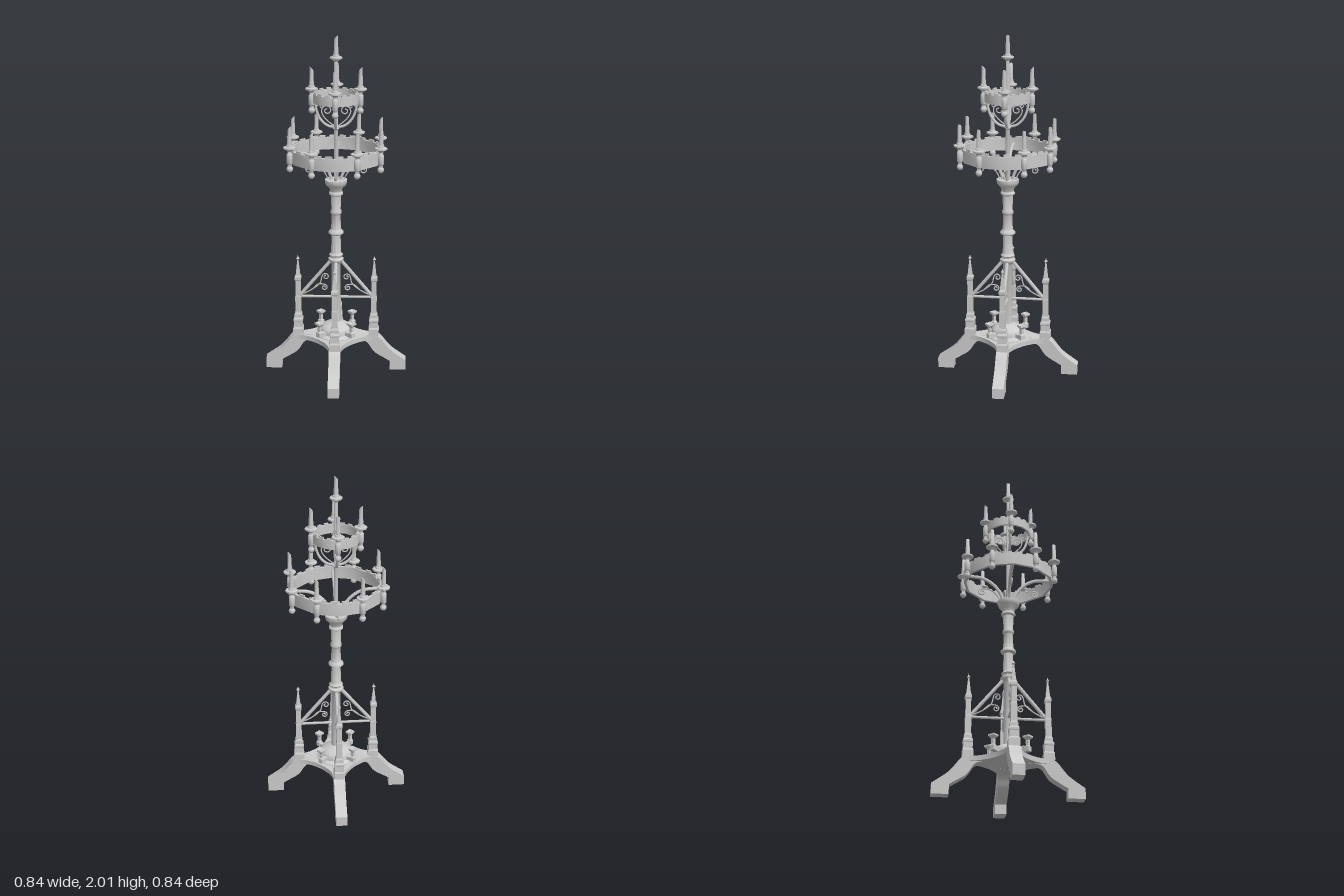
import * as THREE from 'three';
import { toCreasedNormals } from 'three/addons/utils/BufferGeometryUtils.js';

const smooth = new THREE.MeshStandardMaterial({ color: 0xcccccc, side: THREE.DoubleSide });
const flat = new THREE.MeshStandardMaterial({ color: 0xcccccc, flatShading: true, side: THREE.DoubleSide });
const v2 = (p) => new THREE.Vector2(p[0], p[1]);

function add(parent, name, geometry, material = smooth) {
  const mesh = new THREE.Mesh(geometry, material);
  mesh.name = name;
  parent.add(mesh);
  return mesh;
}

// Turned part from [radius, y] pairs, bottom to top
function turned(parent, name, profile, sides = 8) {
  const g = new THREE.LatheGeometry(profile.map(v2), sides);
  return add(parent, name, toCreasedNormals(g, 0.85));
}

// Square part from [half width, y] pairs
function squareTurned(parent, name, profile) {
  const pts = profile.map(([w, y]) => new THREE.Vector2(w * Math.SQRT2, y));
  return add(parent, name, new THREE.LatheGeometry(pts, 4, Math.PI / 4), flat);
}

// Bar swept along [x, y] points in the radial plane
function bar(parent, name, points, r, steps = 16, sides = 6) {
  const curve = new THREE.CatmullRomCurve3(points.map(([x, y]) => new THREE.Vector3(x, y, 0)));
  return add(parent, name, new THREE.TubeGeometry(curve, steps, r, sides));
}

// Wire that ends in an inward spiral
function scroll(parent, name, lead, [cx, cy], r, a0, dir, wire = 0.004) {
  const pts = [...lead];
  for (let i = 0; i <= 14; i++) {
    const t = i / 14, a = a0 + dir * t * Math.PI * 2.6, k = r * (1 - 0.75 * t);
    pts.push([cx + k * Math.cos(a), cy + k * Math.sin(a)]);
  }
  return bar(parent, name, pts, wire, 44, 5);
}

// Four copies of a part around the vertical axis
function fourTimes(parent, name, build, offset = 0) {
  for (let i = 0; i < 4; i++) {
    const g = new THREE.Group();
    g.name = name;
    g.rotation.y = offset + i * Math.PI / 2;
    build(g);
    parent.add(g);
  }
}

// Candle with its slanted tip; y is the height of the drip pan
function candle(parent, x, y, z, withDrop = true) {
  const g = new THREE.Group();
  g.name = 'candle';
  g.position.set(x, y, z);
  turned(g, 'dripPan', [[0, -0.022], [0.014, -0.02], [0.018, -0.012], [0.036, -0.004], [0.036, 0.005],
    [0.02, 0.008], [0.018, 0.018], [0, 0.02]]);
  const wax = new THREE.CylinderGeometry(0.01, 0.014, 0.11, 8);
  const p = wax.attributes.position;
  for (let i = 0; i < p.count; i++) if (p.getY(i) > 0) p.setY(i, p.getY(i) + p.getX(i));
  add(g, 'wax', toCreasedNormals(wax, 0.85)).position.y = 0.06;
  if (withDrop) {
    turned(g, 'holderStem', [[0, -0.108], [0.012, -0.106], [0.012, -0.095], [0.017, -0.09], [0.017, -0.035],
      [0.012, -0.03], [0.012, -0.018]]);
    const ball = add(g, 'drop', new THREE.SphereGeometry(0.019, 8, 6));
    ball.position.y = -0.122;
  }
  parent.add(g);
}

// Upright polygonal band
function band(parent, name, angles, r, thick, y0, y1) {
  const outline = (k) => angles.map((a) => new THREE.Vector2(k * Math.cos(a), k * Math.sin(a)));
  const shape = new THREE.Shape(outline(r));
  shape.holes.push(new THREE.Path(outline(r - thick)));
  const g = new THREE.ExtrudeGeometry(shape, { depth: y1 - y0, bevelEnabled: false });
  g.rotateX(-Math.PI / 2);
  add(parent, name, toCreasedNormals(g, 0.7)).position.y = y0;
}

// Small raised blocks along the top of a band
function crenels(parent, angles, r, y, perSide, length) {
  angles.forEach((a, i) => {
    const b = angles[(i + 1) % angles.length];
    const p = [r * Math.cos(a), -r * Math.sin(a)], q = [r * Math.cos(b), -r * Math.sin(b)];
    for (let k = 0; k < perSide; k++) {
      const t = (k + 0.5) / perSide;
      const m = add(parent, 'crenel', new THREE.BoxGeometry(length, 0.014, 0.009));
      m.position.set(p[0] + (q[0] - p[0]) * t, y, p[1] + (q[1] - p[1]) * t);
      m.rotation.y = Math.atan2(-(q[1] - p[1]), q[0] - p[0]);
    }
  });
}

function buildBase(root) {
  // Cross-shaped deck with concave sides
  const deck = new THREE.Shape();
  deck.moveTo(0.22, -0.033);
  for (let i = 0; i < 4; i++) {
    const c = Math.round(Math.cos(i * Math.PI / 2)), s = Math.round(Math.sin(i * Math.PI / 2));
    const at = (x, y) => [x * c - y * s, x * s + y * c];
    deck.lineTo(...at(0.22, 0.033));
    deck.bezierCurveTo(...at(0.14, 0.04), ...at(0.04, 0.14), ...at(0.033, 0.22));
    deck.lineTo(...at(-0.033, 0.22));
  }
  const dg = new THREE.ExtrudeGeometry(deck, { depth: 0.028, bevelEnabled: false, curveSegments: 8 });
  dg.rotateX(-Math.PI / 2);
  add(root, 'deck', toCreasedNormals(dg, 0.6)).position.y = 0.19;
  turned(root, 'baseDome', [[0.08, 0.185], [0.12, 0.2], [0.12, 0.222], [0.098, 0.235], [0.095, 0.265],
    [0.075, 0.28], [0.045, 0.292], [0.028, 0.3]], 12);

  fourTimes(root, 'leg', (g) => {
    const s = new THREE.Shape();
    s.moveTo(0.325, 0);
    s.lineTo(0.42, 0);
    s.lineTo(0.42, 0.06);
    s.lineTo(0.355, 0.105);
    s.bezierCurveTo(0.29, 0.15, 0.28, 0.21, 0.235, 0.219);
    s.lineTo(0.1, 0.219);
    s.lineTo(0.1, 0.19);
    s.lineTo(0.16, 0.187);
    s.bezierCurveTo(0.21, 0.18, 0.2, 0.13, 0.25, 0.1);
    s.lineTo(0.325, 0.055);
    const lg = new THREE.ExtrudeGeometry(s, { depth: 0.066, bevelEnabled: false, curveSegments: 8 });
    lg.translate(0, 0, -0.033);
    add(g, 'legBody', toCreasedNormals(lg, 0.6));
  });

  // Small holders on the diagonals
  fourTimes(root, 'smallHolder', (g) => {
    add(g, 'holderArm', new THREE.BoxGeometry(0.07, 0.022, 0.026)).position.set(0.105, 0.245, 0);
    squareTurned(g, 'holderCup', [[0, 0.23], [0.014, 0.235], [0.014, 0.262], [0.008, 0.27], [0.008, 0.3],
      [0.02, 0.315], [0.02, 0.325], [0.012, 0.325], [0, 0.315]]).position.x = 0.134;
  }, Math.PI / 4);
}

function buildButtresses(root) {
  fourTimes(root, 'buttress', (g) => {
    squareTurned(g, 'pinnacle', [[0.031, 0.215], [0.031, 0.255], [0.026, 0.265], [0.026, 0.3], [0.028, 0.305],
      [0.028, 0.315], [0.022, 0.325], [0.022, 0.345], [0.017, 0.355], [0.017, 0.455], [0.015, 0.465],
      [0.015, 0.555], [0.019, 0.565], [0.019, 0.58], [0.013, 0.59], [0.004, 0.68], [0.004, 0.685],
      [0.009, 0.692], [0.004, 0.7], [0, 0.715]]).position.x = 0.225;
    bar(g, 'tieBar', [[0.02, 0.455], [0.225, 0.455]], 0.008, 1);
    bar(g, 'strut', [[0.215, 0.46], [0.025, 0.69]], 0.011, 1);
    scroll(g, 'strutScroll', [[0.205, 0.465], [0.14, 0.5], [0.095, 0.54]], [0.062, 0.58], 0.022, 0, 1);
    scroll(g, 'strutScroll', [[0.14, 0.5], [0.105, 0.532]], [0.07, 0.512], 0.019, Math.PI / 2, 1);
  });
}

function buildColumn(root) {
  turned(root, 'column', [[0.03, 0.28], [0.027, 0.31], [0.027, 0.665], [0.034, 0.675], [0.046, 0.69],
    [0.046, 0.698], [0.034, 0.706], [0.034, 0.715], [0.042, 0.722], [0.03, 0.735], [0.028, 0.845],
    [0.045, 0.855], [0.045, 0.865], [0.03, 0.88], [0.027, 0.97], [0.034, 0.978], [0.034, 0.99],
    [0.028, 1.0], [0.031, 1.085], [0.042, 1.092], [0.042, 1.102], [0.035, 1.11], [0.04, 1.13],
    [0.06, 1.15], [0.066, 1.165], [0.066, 1.18], [0, 1.182]], 10);
  turned(root, 'upperRod', [[0.013, 1.18], [0.012, 1.47], [0.02, 1.48], [0.012, 1.495], [0.011, 1.87]]);
  candle(root, 0, 1.88, 0, false);
}

function buildCrowns(root) {
  // Lower crown
  const lower = [];
  for (let i = 0; i < 4; i++) for (const d of [0, 28, 62]) lower.push((i * 90 + d) * Math.PI / 180);
  band(root, 'lowerCrown', lower, 0.265, 0.016, 1.295, 1.368);
  crenels(root, lower, 0.257, 1.373, 2, 0.038);
  for (let i = 0; i < 4; i++) for (const d of [26.2, 63.8]) {
    const a = (i * 90 + d) * Math.PI / 180;
    candle(root, 0.284 * Math.cos(a), 1.395, 0.284 * Math.sin(a));
  }
  fourTimes(root, 'lowerCrownArm', (g) => {
    bar(g, 'arm', [[0.025, 1.175], [0.045, 1.23], [0.085, 1.285], [0.15, 1.325], [0.255, 1.335]], 0.01);
    scroll(g, 'armScroll', [[0.045, 1.18], [0.07, 1.225], [0.11, 1.255]], [0.155, 1.236], 0.022, Math.PI / 2, -1);
  });

  // Upper crown
  const upper = Array.from({ length: 16 }, (_, i) => (i + 0.5) * Math.PI / 8);
  band(root, 'upperCrown', upper, 0.13, 0.012, 1.63, 1.682);
  crenels(root, upper, 0.124, 1.685, 1, 0.026);
  fourTimes(root, 'upperCrownArm', (g) => {
    candle(g, 0.137, 1.705, 0);
    bar(g, 'arm', [[0, 1.485], [0.05, 1.497], [0.09, 1.535], [0.112, 1.59], [0.118, 1.65]], 0.008);
    scroll(g, 'armScroll', [[0.004, 1.49], [0.045, 1.52], [0.075, 1.555]], [0.052, 1.582], 0.03, 0, 1);
    scroll(g, 'armScroll', [[0.112, 1.6], [0.1, 1.615]], [0.082, 1.607], 0.013, Math.PI / 2, 1, 0.003);
  });
}

export function createModel() {
  const root = new THREE.Group();
  root.name = 'candelabrum';
  buildBase(root);
  buildButtresses(root);
  buildColumn(root);
  buildCrowns(root);
  return root;
}
